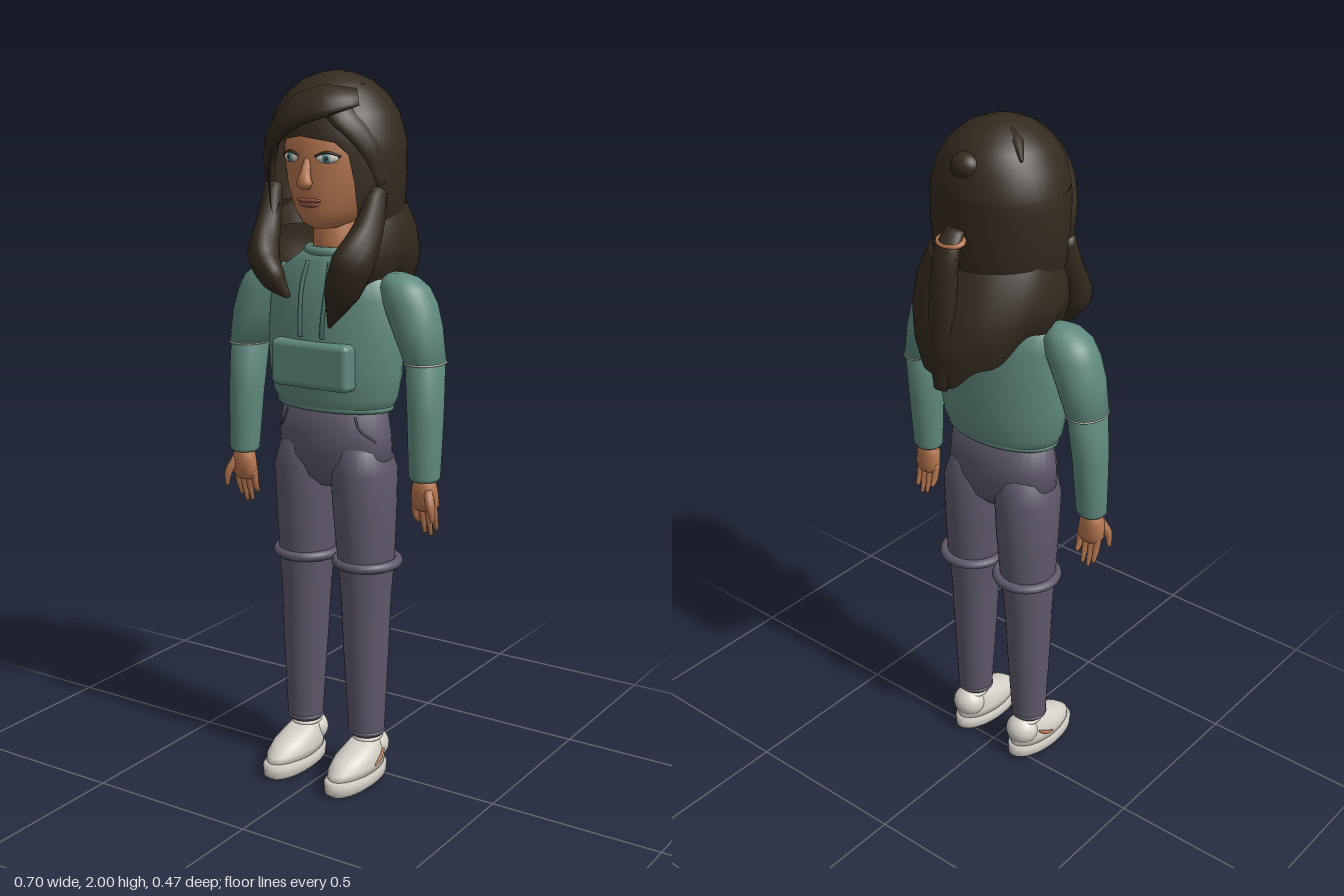
import * as THREE from 'three';
import { RoundedBoxGeometry } from 'three/addons/geometries/RoundedBoxGeometry.js';

const mat = (name, color, side = THREE.FrontSide) => {
  const m = new THREE.MeshStandardMaterial({ color, side });
  m.name = name;
  return m;
};

// Surface through rows of points; closed rows wrap round and get end caps
function skin(rows, closed = true) {
  const n = rows[0].length, pos = rows.flat().flatMap(p => [p.x, p.y, p.z]), idx = [];
  const cols = closed ? n : n - 1;
  for (let i = 0; i < rows.length - 1; i++) for (let j = 0; j < cols; j++) {
    const k = (j + 1) % n, a = i * n + j, b = i * n + k, c = b + n, d = a + n;
    idx.push(a, b, c, a, c, d);
  }
  if (closed) [0, rows.length - 1].forEach((r, e) => {
    const mid = rows[r].reduce((s, p) => s.add(p), new THREE.Vector3()).divideScalar(n);
    const m = pos.length / 3;
    pos.push(mid.x, mid.y, mid.z);
    for (let j = 0; j < n; j++) {
      const a = r * n + j, b = r * n + (j + 1) % n;
      idx.push(m, ...(e ? [a, b] : [b, a]));
    }
  });
  const g = new THREE.BufferGeometry();
  g.setAttribute('position', new THREE.Float32BufferAttribute(pos, 3));
  g.setIndex(idx);
  g.computeVertexNormals();
  return g;
}

// Upright body from elliptical rings [y, cx, cz, rx, rz], lowest first
const loft = (rings, s = 1, n = 32) => skin(rings.map(([y, cx, cz, rx, rz]) =>
  Array.from({ length: n }, (_, j) => {
    const a = j / n * Math.PI * 2;
    return new THREE.Vector3(cx * s + rx * Math.sin(a), y, cz + rz * Math.cos(a));
  })));

// Flattened strand through points [x, y, z, halfWidth, halfThickness]
function strand(pts, s = 1, center = null, steps = 20, n = 12) {
  const curve = new THREE.CatmullRomCurve3(pts.map(p => new THREE.Vector3(p[0] * s, p[1], p[2])));
  const rows = [];
  for (let i = 0; i <= steps; i++) {
    const t = i / steps, f = t * (pts.length - 1), k = Math.min(Math.floor(f), pts.length - 2);
    const w = THREE.MathUtils.lerp(pts[k][3], pts[k + 1][3], f - k);
    const h = THREE.MathUtils.lerp(pts[k][4], pts[k + 1][4], f - k);
    const p = curve.getPoint(t), T = curve.getTangent(t);
    const N = center ? p.clone().sub(center) : new THREE.Vector3(p.x, 0, p.z - 0.03);
    N.addScaledVector(T, -N.dot(T)).normalize();
    const B = N.clone().cross(T);
    rows.push(Array.from({ length: n }, (_, j) => {
      const a = j / n * Math.PI * 2;
      return p.clone().addScaledVector(B, w * Math.cos(a)).addScaledVector(N, h * Math.sin(a));
    }));
  }
  return skin(rows);
}

export function createModel() {
  const root = new THREE.Group();
  root.name = 'girlInHoodie';
  const hair = mat('dark brown hair', 0x342a1e, THREE.DoubleSide);
  const flesh = mat('skin', 0xb5754e), lip = mat('lips', 0x8f5140);
  const teal = mat('teal fabric', 0x5f897e), darkTeal = mat('dark teal trim', 0x446860);
  const pants = mat('purple grey trousers', 0x5f586b), seam = mat('dark seam', 0x474150);
  const white = mat('off white', 0xd6d1c8), eye = mat('iris', 0x4f9294);
  const add = (name, geo, m, x = 0, y = 0, z = 0) => {
    const o = new THREE.Mesh(geo, m);
    o.name = name;
    o.position.set(x, y, z);
    root.add(o);
    return o;
  };
  const ball = (name, m, x, y, z, rx, ry, rz) => {
    const o = add(name, new THREE.SphereGeometry(1, 24, 16), m, x, y, z);
    o.scale.set(rx, ry, rz);
    return o;
  };
  const ring = (name, m, x, y, z, rx, rz, tube) => {
    const o = add(name, new THREE.TorusGeometry(rx, tube, 10, 36).rotateX(Math.PI / 2), m, x, y, z);
    o.scale.z = rz / rx;
    return o;
  };

  // Head, neck and face
  add('neck', loft([[1.48, 0, 0.035, 0.07, 0.065], [1.55, 0, 0.035, 0.063, 0.06], [1.66, 0, 0.035, 0.063, 0.06]]), flesh);
  add('head', loft([[1.59, 0, 0.08, 0.035, 0.05], [1.605, 0, 0.07, 0.065, 0.085], [1.64, 0, 0.05, 0.095, 0.118],
    [1.7, 0, 0.04, 0.122, 0.134], [1.78, 0, 0.035, 0.138, 0.142], [1.86, 0, 0.03, 0.135, 0.138], [1.94, 0, 0.03, 0.08, 0.08]]), flesh);
  add('nose', strand([[0, 1.775, 0.168, 0.01, 0.01], [0, 1.74, 0.182, 0.014, 0.014],
    [0, 1.712, 0.186, 0.024, 0.018], [0, 1.7, 0.178, 0.014, 0.008]]), flesh);
  ball('upperLip', lip, 0, 1.667, 0.167, 0.038, 0.007, 0.009);
  ball('lowerLip', lip, 0, 1.656, 0.164, 0.03, 0.008, 0.009);

  // Hair cap, open around the face
  const open = [[1.58, 0.88, 0.17, 0.15], [1.64, 0.82, 0.188, 0.166], [1.72, 0.76, 0.194, 0.17], [1.79, 0.68, 0.194, 0.172],
    [1.82, 0.5, 0.192, 0.173], [1.835, 0, 0.188, 0.173], [1.89, 0, 0.17, 0.162], [1.94, 0, 0.135, 0.136],
    [1.975, 0, 0.09, 0.095], [1.993, 0, 0.045, 0.05], [2, 0, 0.001, 0.001]];
  add('hairCap', skin(open.map(([y, o, rx, rz]) => Array.from({ length: 49 }, (_, j) => {
    const a = o + (2 * Math.PI - 2 * o) * j / 48;
    return new THREE.Vector3(rx * Math.sin(a), y, 0.03 + rz * Math.cos(a));
  })), false), hair);

  // Loose mane over the shoulders with a ragged hem, longest at the back
  const mane = [[1, 0.178, 0.218, 0.14], [0.8, 0.196, 0.232, 0.18], [0.6, 0.202, 0.232, 0.2],
    [0.3, 0.198, 0.21, 0.2], [0, 0.178, 0.165, 0.17]];
  add('hairMane', skin(mane.map(([v, rx, back, front]) => Array.from({ length: 61 }, (_, j) => {
    const a = 0.8 + (2 * Math.PI - 1.6) * j / 60, c = Math.cos(a);
    const hem = 1.34 + 0.13 * Math.sin(a) ** 2 + 0.012 * Math.sin(9 * a);
    return new THREE.Vector3(rx * Math.sin(a), THREE.MathUtils.lerp(1.65, hem, v), c * (c < 0 ? back : front));
  })), false), hair);

  // Fringe, crown strand and front locks
  const crown = new THREE.Vector3(0, 1.75, 0.03);
  add('fringe', strand([[0.13, 1.935, 0.13, 0.03, 0.012], [0.06, 1.925, 0.178, 0.055, 0.024], [-0.03, 1.895, 0.185, 0.06, 0.025],
    [-0.11, 1.84, 0.158, 0.048, 0.022], [-0.16, 1.77, 0.115, 0.032, 0.018], [-0.172, 1.69, 0.095, 0.012, 0.012]], 1, crown), hair);
  add('sideFringe', strand([[0.03, 1.93, 0.165, 0.02, 0.012], [0.1, 1.885, 0.155, 0.04, 0.018],
    [0.155, 1.81, 0.115, 0.035, 0.016], [0.175, 1.71, 0.09, 0.015, 0.01]], 1, crown), hair);
  add('crownStrand', strand([[-0.13, 1.93, -0.05, 0.004, 0.005], [-0.08, 1.965, -0.01, 0.018, 0.012],
    [0.01, 1.99, 0.03, 0.016, 0.01], [0.1, 1.962, 0.06, 0.006, 0.006]], 1, crown), hair);
  add('rightLock', strand([[-0.165, 1.7, 0.09, 0.025, 0.025], [-0.163, 1.6, 0.12, 0.036, 0.035], [-0.148, 1.51, 0.165, 0.054, 0.045],
    [-0.11, 1.45, 0.172, 0.042, 0.032], [-0.068, 1.405, 0.165, 0.005, 0.008]]), hair);
  add('leftLock', strand([[0.165, 1.7, 0.09, 0.028, 0.025], [0.16, 1.6, 0.125, 0.042, 0.035], [0.142, 1.51, 0.172, 0.06, 0.045],
    [0.11, 1.43, 0.178, 0.048, 0.032], [0.06, 1.335, 0.16, 0.005, 0.008]]), hair);

  // Bun, ponytail and hair tie
  ball('bun', hair, 0, 1.905, -0.108, 0.042, 0.036, 0.036);
  add('ponytail', strand([[0, 1.75, -0.15, 0.028, 0.02], [0, 1.7, -0.185, 0.038, 0.024], [0, 1.58, -0.203, 0.042, 0.026],
    [0, 1.45, -0.212, 0.042, 0.022], [0, 1.325, -0.218, 0.022, 0.012]]), hair);
  ring('hairTie', flesh, 0, 1.725, -0.17, 0.037, 0.028, 0.007).rotation.x = -0.25;

  // Hoodie
  add('hoodieBody', loft([[1.09, 0, 0.04, 0.16, 0.095], [1.1, 0, 0.04, 0.176, 0.104], [1.13, 0, 0.04, 0.192, 0.115],
    [1.2, 0, 0.04, 0.205, 0.12], [1.3, 0, 0.04, 0.208, 0.12], [1.4, 0, 0.037, 0.202, 0.112], [1.46, 0, 0.035, 0.182, 0.1],
    [1.5, 0, 0.035, 0.125, 0.088], [1.53, 0, 0.035, 0.08, 0.075]], 1, 40), teal);
  ring('hem', teal, 0, 1.103, 0.04, 0.172, 0.1, 0.01);
  ring('collar', teal, 0, 1.525, 0.035, 0.076, 0.072, 0.014);
  ball('hood', teal, 0, 1.578, -0.142, 0.092, 0.046, 0.05);
  add('frontPocket', new RoundedBoxGeometry(0.25, 0.13, 0.07, 4, 0.018), teal, 0, 1.225, 0.143);

  // Trousers seat
  add('hips', loft([[0.87, 0, 0.04, 0.06, 0.05], [0.9, 0, 0.04, 0.13, 0.08], [0.96, 0, 0.04, 0.178, 0.1],
    [1.02, 0, 0.04, 0.174, 0.102], [1.12, 0, 0.04, 0.157, 0.095]]), pants);

  for (const s of [1, -1]) {
    const side = s > 0 ? 'left' : 'right';
    // Eyes and brows
    ball(side + 'Eye', white, 0.057 * s, 1.778, 0.163, 0.03, 0.013, 0.008).rotation.y = 0.35 * s;
    ball(side + 'Iris', eye, 0.057 * s, 1.778, 0.1685, 0.012, 0.012, 0.005).rotation.y = 0.35 * s;
    ball(side + 'Pupil', hair, 0.058 * s, 1.778, 0.172, 0.005, 0.006, 0.003);
    add(side + 'Eyelid', strand([[0.026, 1.783, 0.174, 0.003, 0.004], [0.057, 1.793, 0.166, 0.004, 0.005],
      [0.09, 1.783, 0.149, 0.003, 0.004]], s), hair);
    // Drawstrings
    add(side + 'Drawstring', strand([[0.035, 1.5, 0.12, 0.006, 0.006], [0.04, 1.44, 0.142, 0.006, 0.006],
      [0.037, 1.36, 0.158, 0.006, 0.006], [0.035, 1.3, 0.161, 0.007, 0.007]], s), darkTeal);
    // Sleeves
    add(side + 'UpperSleeve', loft([[1.245, 0.288, 0.042, 0.054, 0.067], [1.34, 0.26, 0.042, 0.07, 0.071],
      [1.4, 0.238, 0.04, 0.075, 0.071], [1.44, 0.222, 0.04, 0.069, 0.064], [1.465, 0.208, 0.04, 0.05, 0.046],
      [1.477, 0.195, 0.04, 0.022, 0.022]], s), teal);
    ring(side + 'ElbowSeam', white, 0.288 * s, 1.245, 0.042, 0.052, 0.065, 0.003);
    add(side + 'Forearm', loft([[0.925, 0.3, 0.06, 0.036, 0.034], [0.935, 0.3, 0.06, 0.044, 0.041], [1.1, 0.296, 0.052, 0.049, 0.053],
      [1.25, 0.288, 0.042, 0.051, 0.064]], s), teal);
    // Hand
    add(side + 'Palm', loft([[0.84, 0.3, 0.055, 0.03, 0.015], [0.86, 0.302, 0.058, 0.042, 0.024],
      [0.9, 0.302, 0.062, 0.038, 0.03], [0.94, 0.3, 0.06, 0.026, 0.026]], s, 20), flesh);
    [[0.27, 0.8], [0.291, 0.772], [0.31, 0.767], [0.328, 0.785]].forEach(([x, y]) =>
      add(side + 'Finger', strand([[x, 0.868, 0.058, 0.011, 0.012], [x, 0.82, 0.05, 0.01, 0.01],
        [x, y, 0.038, 0.005, 0.006]], s, null, 8, 8), flesh));
    add(side + 'Thumb', strand([[0.32, 0.9, 0.075, 0.014, 0.014], [0.338, 0.86, 0.09, 0.012, 0.012],
      [0.344, 0.82, 0.09, 0.006, 0.006]], s, null, 8, 8), flesh);
    // Leg, knee ring, cuff and pocket seam
    add(side + 'Leg', loft([[0.135, 0.106, 0.04, 0.046, 0.045], [0.15, 0.106, 0.04, 0.052, 0.052], [0.4, 0.103, 0.039, 0.065, 0.066],
      [0.55, 0.101, 0.037, 0.071, 0.073], [0.66, 0.1, 0.035, 0.079, 0.085], [0.8, 0.096, 0.036, 0.087, 0.096],
      [0.92, 0.094, 0.038, 0.091, 0.102], [0.985, 0.09, 0.04, 0.075, 0.09], [1.02, 0.088, 0.04, 0.04, 0.06]], s), pants);
    ring(side + 'KneeRing', pants, 0.1 * s, 0.655, 0.03, 0.086, 0.088, 0.014);
    ring(side + 'Cuff', pants, 0.106 * s, 0.147, 0.04, 0.047, 0.046, 0.008);
    add(side + 'PocketSeam', strand([[0.11, 1.085, 0.112, 0.003, 0.003], [0.125, 1.05, 0.111, 0.003, 0.003],
      [0.16, 1.015, 0.083, 0.003, 0.003]], s), seam);
    // Shoe
    add(side + 'Sole', loft([[0, 0.106, 0.097, 0.05, 0.118], [0.012, 0.106, 0.097, 0.062, 0.134],
      [0.035, 0.106, 0.097, 0.064, 0.135], [0.048, 0.106, 0.097, 0.056, 0.126]], s), white);
    add(side + 'ShoeUpper', loft([[0.04, 0.106, 0.095, 0.057, 0.124], [0.065, 0.106, 0.093, 0.059, 0.12],
      [0.09, 0.106, 0.08, 0.054, 0.1], [0.11, 0.106, 0.055, 0.044, 0.066], [0.125, 0.106, 0.035, 0.035, 0.04]], s), white);
    ball(side + 'Heel', white, 0.106 * s, 0.092, 0.008, 0.05, 0.046, 0.046);
    ring(side + 'ShoeOpening', white, 0.106 * s, 0.125, 0.034, 0.036, 0.04, 0.007);
    add(side + 'ShoeStripe', strand([[0.158, 0.092, 0.03, 0.003, 0.004], [0.164, 0.075, 0.055, 0.007, 0.004],
      [0.165, 0.064, 0.085, 0.003, 0.003]], s), flesh);
  }
  return root;
}
